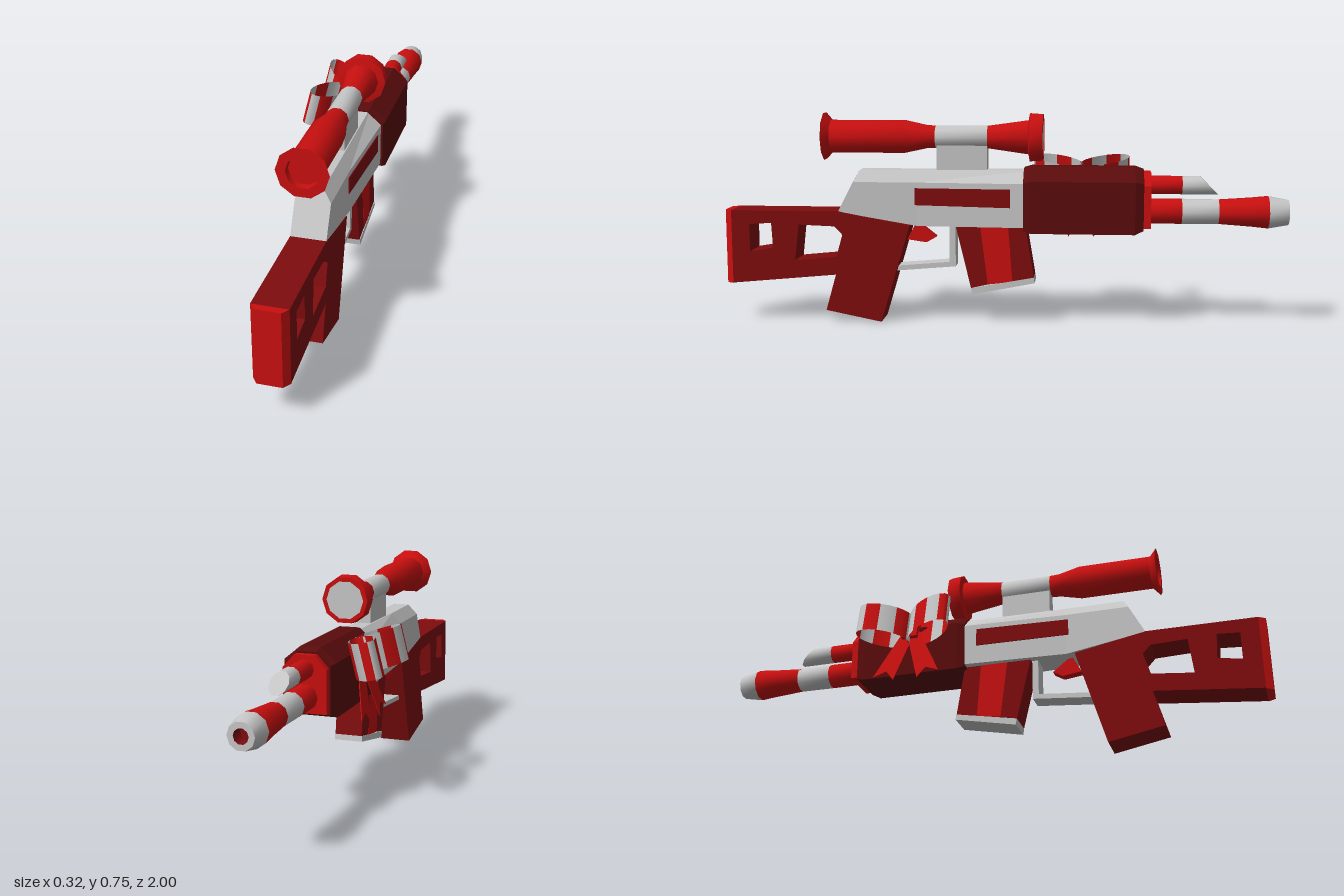
import * as THREE from 'three';
import { toCreasedNormals } from 'three/addons/utils/BufferGeometryUtils.js';

const AXIS = 0.06; // x of the centre plane

const paint = (name, color) => {
  const m = new THREE.MeshStandardMaterial({ color, side: THREE.DoubleSide });
  m.name = name;
  return m;
};

// Solid through [z, outline] sections, back (+z) to muzzle (-z), outlines counter-clockwise
function loft(sections) {
  const pos = [];
  const n = sections[0][1].length;
  const at = (i, j) => [...sections[i][1][j % n], sections[i][0]];
  const tri = (a, b, c) => pos.push(...a, ...b, ...c);
  const last = sections.length - 1;
  for (let i = 0; i < last; i++) {
    for (let j = 0; j < n; j++) {
      tri(at(i, j), at(i + 1, j + 1), at(i, j + 1));
      tri(at(i, j), at(i + 1, j), at(i + 1, j + 1));
    }
  }
  for (let j = 1; j < n - 1; j++) {
    tri(at(0, 0), at(0, j), at(0, j + 1));
    tri(at(last, 0), at(last, j + 1), at(last, j));
  }
  const g = new THREE.BufferGeometry();
  g.setAttribute('position', new THREE.Float32BufferAttribute(pos, 3));
  g.computeVertexNormals();
  return g;
}

// House-shaped outline: straight sides, chamfered top
const house = (w, bottom, shoulder, topW, top) =>
  [[-w, bottom], [w, bottom], [w, shoulder], [topW, top], [-topW, top], [-w, shoulder]];
const rect = (w, bottom, top) => [[-w, bottom], [w, bottom], [w, top], [-w, top]];

const outline = (pts) => pts.map(([a, b]) => new THREE.Vector2(a, b));

// Side profile of [z, y] points extruded across the width
function slab(pts, width, holes = []) {
  const shape = new THREE.Shape(outline(pts));
  holes.forEach((h) => shape.holes.push(new THREE.Path(outline(h))));
  const g = new THREE.ExtrudeGeometry(shape, { depth: width, bevelEnabled: false });
  return g.rotateY(-Math.PI / 2).translate(width / 2, 0, 0);
}

// Ten-sided turned part from [radius, z] points
function turned(pts, y) {
  const g = new THREE.LatheGeometry(outline(pts), 10, Math.PI / 10);
  return toCreasedNormals(g.rotateX(Math.PI / 2).translate(0, y, 0), 0.7);
}

export function createModel() {
  const red = paint('red', 0xc80f0f);
  const darkRed = paint('dark red', 0x7e0c0e);
  const deepRed = paint('deep red', 0x5a0b0b);
  const white = paint('light grey', 0xc6c6c6);

  const model = new THREE.Group();
  const body = new THREE.Group();
  body.name = 'body';
  body.position.x = AXIS;
  model.add(body);
  const add = (name, geometry, material, parent = body) => {
    const mesh = new THREE.Mesh(geometry, material);
    mesh.name = name;
    parent.add(mesh);
    return mesh;
  };

  // Skeleton stock and pistol grip in one slab
  add('stockAndGrip', slab(
    [[0.975, 0.135], [0.975, 0.4], [0.585, 0.4], [0.33, 0.35], [0.435, 0], [0.635, 0.04], [0.598, 0.17]],
    0.12,
    [
      [[0.91, 0.35], [0.83, 0.355], [0.825, 0.265], [0.91, 0.25]],
      [[0.73, 0.35], [0.6, 0.345], [0.572, 0.315], [0.595, 0.235], [0.745, 0.22]],
    ],
  ), darkRed);
  add('buttPlate', loft([[1, rect(0.042, 0.133, 0.4)], [0.975, rect(0.06, 0.134, 0.4)]]), red);

  // Receiver, widening toward the handguard
  add('receiver', loft([
    [0.585, house(0.06, 0.399, 0.4, 0.06, 0.4)],
    [0.53, house(0.06, 0.389, 0.505, 0.06, 0.506)],
    [0.51, house(0.06, 0.385, 0.505, 0.03, 0.546)],
    [0.3, house(0.06, 0.35, 0.505, 0.03, 0.546)],
    [-0.12, house(0.081, 0.35, 0.505, 0.03, 0.55)],
  ]), white);
  add('sidePanels', loft([[0.31, rect(0.063, 0.425, 0.485)], [-0.03, rect(0.08, 0.42, 0.485)]]), darkRed);

  // Handguard and its front collar
  add('handguard', loft([
    [-0.075, house(0.086, 0.34, 0.508, 0.032, 0.555)],
    [-0.1, house(0.0925, 0.332, 0.515, 0.035, 0.562)],
    [-0.465, house(0.0925, 0.332, 0.515, 0.035, 0.562)],
    [-0.495, house(0.08, 0.345, 0.508, 0.032, 0.552)],
  ]), deepRed);
  add('frontCollar', loft([
    [-0.49, house(0.076, 0.352, 0.5, 0.035, 0.545)],
    [-0.52, house(0.076, 0.352, 0.5, 0.035, 0.545)],
  ]), red);

  // Barrel with flared, hollow muzzle
  const barrelY = 0.405;
  add('barrelBase', turned([[0.045, -0.63], [0.045, -0.5]], barrelY), red);
  add('barrelMiddle', turned([[0.044, -0.758], [0.045, -0.63]], barrelY), white);
  add('muzzleFlare', turned([[0.058, -0.93], [0.052, -0.87], [0.044, -0.758]], barrelY), red);
  add('muzzleTip', turned([[0.025, -1], [0.045, -1], [0.058, -0.93]], barrelY), white);
  add('bore', turned([[0, -0.95], [0.025, -0.95], [0.025, -1]], barrelY), darkRed);

  // Upper tube, its nose cut at a slant
  const tubeY = 0.498;
  add('upperTubeBase', turned([[0.033, -0.63], [0.033, -0.5]], tubeY), red);
  const nose = turned([[0, -0.7], [0.033, -0.7], [0.033, -0.63]], tubeY);
  const p = nose.attributes.position;
  for (let i = 0; i < p.count; i++) {
    if (p.getZ(i) < -0.69) p.setZ(i, -0.724 + (p.getY(i) - tubeY));
  }
  nose.computeVertexNormals();
  add('upperTubeNose', toCreasedNormals(nose, 0.7), white);

  // Scope
  const scopeY = 0.663;
  add('scopeEyepiece', turned([
    [0.041, 0.24], [0.042, 0.27], [0.06, 0.35], [0.06, 0.615], [0.0875, 0.64],
    [0.055, 0.64], [0.053, 0.615], [0, 0.615],
  ], scopeY), red);
  add('scopeMiddle', turned([[0.041, 0.055], [0.041, 0.24]], scopeY), white);
  add('scopeObjective', turned([
    [0.068, -0.142], [0.084, -0.142], [0.0875, -0.095], [0.062, -0.09], [0.041, 0.055],
  ], scopeY), red);
  add('scopeLens', turned([[0, -0.14], [0.069, -0.14]], scopeY), white);
  const mount = new THREE.BoxGeometry(0.052, 0.13, 0.18);
  add('scopeMount', mount.translate(0, 0.6, 0.146), white);

  // Magazine: dark, bright stripe, dark, pale base
  const mag = (top, bottom) => [[top[0], 0.36], [top[1], 0.36], bottom[1], bottom[0]];
  const [b0, b1, b2, b3] = [[0.112, 0.127], [0.052, 0.141], [-0.036, 0.152], [-0.112, 0.168]];
  add('magazineRear', slab(mag([0.168, 0.08], [b0, b1]), 0.1), darkRed);
  add('magazineStripe', slab(mag([0.08, -0.02], [b1, b2]), 0.102), red);
  add('magazineFront', slab(mag([-0.02, -0.08], [b2, b3]), 0.1), darkRed);
  add('magazineBase', slab([b0, b3, [-0.115, 0.148], [0.108, 0.104]], 0.104), white);

  // Trigger and guard
  add('trigger', slab([[0.31, 0.36], [0.24, 0.305], [0.275, 0.285], [0.345, 0.295]], 0.035), red);
  add('triggerGuard', slab([
    [0.4, 0.182], [0.168, 0.202], [0.168, 0.36], [0.19, 0.36], [0.19, 0.218], [0.4, 0.2],
  ], 0.07), white);

  // Striped ribbon bow leaning on the right side
  const bow = new THREE.Group();
  bow.name = 'bow';
  bow.position.set(-0.045, 0.5, -0.275);
  bow.rotation.z = -0.242;
  model.add(bow);
  const stripes = 10;
  const step = (Math.PI * 2) / stripes;
  for (const turn of [0.53, Math.PI - 0.53]) {
    for (let i = 0; i < stripes; i++) {
      const g = new THREE.CylinderGeometry(1, 1, 0.125, 2, 1, true, i * step, step);
      g.scale(0.045, 1, 0.1).translate(0, 0, -0.1).rotateY(turn);
      add('bowLoopStripe', g, i % 2 ? white : red, bow);
    }
  }
  add('bowKnot', new THREE.BoxGeometry(0.035, 0.075, 0.06), red, bow);
  for (const s of [1, -1]) {
    // Swallow-tailed ribbon end
    const tail = [[0, 0.02], [s * 0.035, -0.01], [s * 0.125, -0.2], [s * 0.075, -0.18], [s * 0.045, -0.222], [s * -0.01, -0.03]];
    add('bowTail', slab(tail, 0.003), red, bow);
  }
  return model;
}
